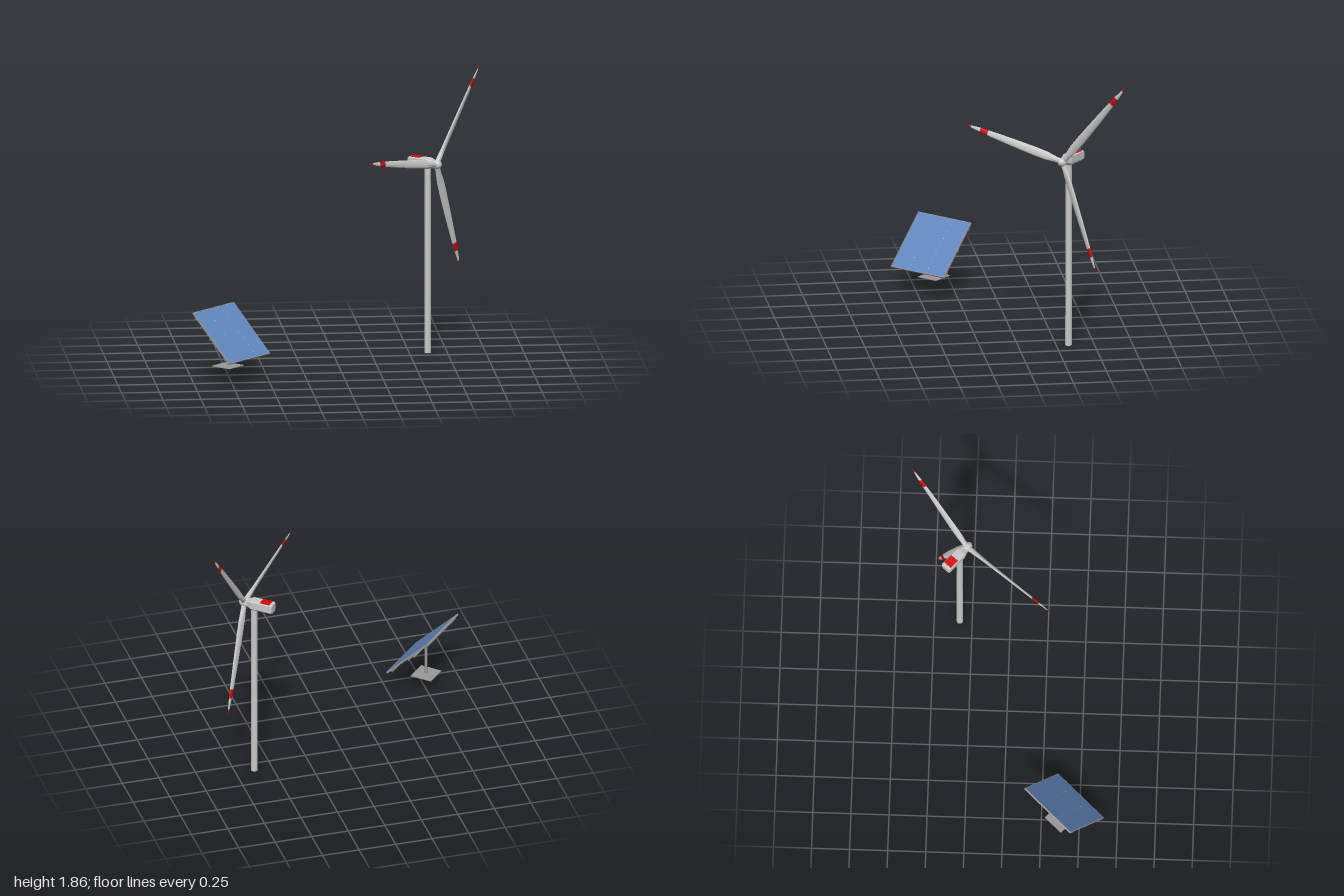
import * as THREE from 'three';

const mat = (name, color, opts = {}) => {
  const m = new THREE.MeshStandardMaterial({ color, ...opts });
  m.name = name;
  return m;
};

// Skin a stack of equal-length rings of [x, y, z], wound from +x to +z, rising in y; ends are capped.
function loft(rings) {
  const pos = [], idx = [], n = rings[0].length, last = (rings.length - 1) * n;
  rings.forEach(r => r.forEach(p => pos.push(...p)));
  for (let k = 0; k < rings.length - 1; k++) {
    for (let i = 0; i < n; i++) {
      const a = k * n + i, b = k * n + (i + 1) % n;
      idx.push(a, a + n, b, b, a + n, b + n);
    }
  }
  for (let i = 1; i < n - 1; i++) {
    idx.push(0, i, i + 1, last, last + i + 1, last + i);
  }
  const g = new THREE.BufferGeometry();
  g.setAttribute('position', new THREE.Float32BufferAttribute(pos, 3));
  g.setIndex(idx);
  const flat = g.toNonIndexed();
  flat.computeVertexNormals();
  return flat;
}

export function createModel() {
  const flat = { flatShading: true };
  const white = mat('turbineGrey', 0xcacaca, flat);
  const red = mat('warningRed', 0xd60a08, flat);
  const blue = mat('panelBlue', 0x6288c0, flat);
  const back = mat('panelBackGrey', 0x747474, flat);
  const metal = mat('frameGrey', 0x989898, flat);
  const dotMat = mat('cellGapWhite', 0xe4e4e4, flat);

  const add = (parent, name, geo, material, x = 0, y = 0, z = 0) => {
    const m = new THREE.Mesh(geo, material);
    m.name = name;
    m.position.set(x, y, z);
    parent.add(m);
    return m;
  };
  const group = (parent, name) => {
    const g = new THREE.Group();
    g.name = name;
    parent.add(g);
    return g;
  };
  const box = (w, h, d) => new THREE.BoxGeometry(w, h, d);

  const model = new THREE.Group();
  model.name = 'windAndSolarStation';

  // Turbine: origin under the hub, rotor facing local +z
  const turbine = group(model, 'windTurbine');
  turbine.position.set(0.675, 0, -0.285);
  turbine.rotation.y = 0.859;
  const hubY = 1.27;

  const tower = new THREE.CylinderGeometry(0.021, 0.022, 1.24, 12);
  add(turbine, 'tower', tower, white, 0, 0.62, -0.071);

  // Nacelle: chamfered box tapering to the rotor; stations are [along axis, half width, half height]
  const nacelleRings = [
    [-0.209, 0.033, 0.029], [-0.2, 0.035, 0.035], [-0.06, 0.035, 0.035], [-0.022, 0.024, 0.024],
  ].map(([s, w, h]) => {
    const c = 0.015, t = 0.005;
    return [[w, h - c], [w - c, h], [c - w, h], [-w, h - c], [-w, t - h], [t - w, -h], [w - t, -h], [w, t - h]]
      .map(([x, z]) => [x, s, z]);
  });
  add(turbine, 'nacelle', loft(nacelleRings).rotateX(Math.PI / 2), white, 0, hubY, 0);
  add(turbine, 'nacelleRoofMark', box(0.058, 0.004, 0.068), red, 0, hubY + 0.0355, -0.156);

  // Rotor
  const rotor = group(turbine, 'rotor');
  rotor.position.y = hubY;
  const nose = [[0, -0.026], [0.026, -0.026], [0.03, -0.012], [0.03, 0.01], [0.024, 0.024], [0.012, 0.035], [0, 0.038]]
    .map(([r, y]) => new THREE.Vector2(r, y));
  add(rotor, 'hub', new THREE.LatheGeometry(nose, 12).rotateX(Math.PI / 2), white);

  // Blade stations: radius, half chord, half thickness, pitch
  const stations = [
    [0.015, 0.018, 0.018, 0.35], [0.055, 0.019, 0.017, 0.35], [0.13, 0.028, 0.013, 0.35],
    [0.22, 0.029, 0.011, 0.33], [0.4, 0.025, 0.009, 0.31], [0.595, 0.018, 0.007, 0.3],
    [0.655, 0.0145, 0.006, 0.3], [0.73, 0.007, 0.003, 0.3], [0.763, 0.001, 0.001, 0.3],
  ];
  const rings = stations.map(([r, c, t, b]) => Array.from({ length: 10 }, (_, i) => {
    const a = i / 10 * Math.PI * 2, u = c * Math.cos(a), v = t * Math.sin(a);
    return [u * Math.cos(b) + v * Math.sin(b), r, -u * Math.sin(b) + v * Math.cos(b)];
  }));
  const bladeParts = [
    ['bladeBody', 0, 5, white], ['bladeBand', 5, 6, red], ['bladeOuter', 6, 7, white], ['bladeTip', 7, 8, red],
  ].map(([name, from, to, m]) => [name, loft(rings.slice(from, to + 1)), m]);
  for (const angle of [50, 170, 290]) {
    const blade = group(rotor, 'blade');
    blade.rotation.z = (angle - 90) * Math.PI / 180;
    bladeParts.forEach(([name, geo, m]) => add(blade, name, geo, m));
  }

  // Solar panel: origin below the panel centre, facing local +z
  const solar = group(model, 'solarPanel');
  solar.position.set(-0.742, 0, 0.4);
  solar.rotation.y = 0.805;
  add(solar, 'basePlate', box(0.15, 0.005, 0.15), metal, 0, 0.09, -0.03);
  add(solar, 'post', new THREE.CylinderGeometry(0.009, 0.009, 0.235, 12), metal, 0, 0.208, -0.03);

  const tilt = group(solar, 'tiltedPanel');
  tilt.position.y = 0.3125;
  tilt.rotation.x = Math.PI / 4;
  const size = 0.43, half = size / 2;
  add(tilt, 'panelBack', box(size - 0.006, 0.006, size - 0.006), back, 0, -0.003, 0);
  add(tilt, 'panelFace', box(size - 0.006, 0.002, size - 0.006), blue, 0, 0.001, 0);
  for (const s of [-1, 1]) {
    add(tilt, 'sideFrame', box(0.004, 0.011, size), metal, s * (half - 0.002), -0.003, 0);
    add(tilt, 'endFrame', box(size, 0.011, 0.004), metal, 0, -0.003, s * (half - 0.002));
    add(tilt, 'slopeBeam', box(0.006, 0.008, size - 0.02), back, s * size / 6, -0.009, 0);
    // Small gaps between cells along the column seams
    for (let i = -3; i <= 3; i++) {
      add(tilt, 'cellGap', box(0.004, 0.001, 0.004), dotMat, s * size / 6, 0.0022, i * 0.058);
    }
  }
  // Cross rails under the panel
  for (const z of [-0.17, 0, 0.17]) {
    add(tilt, 'crossRail', box(size - 0.004, 0.014, 0.016), back, 0, -0.014, z);
  }
  add(tilt, 'pivotTube', new THREE.CylinderGeometry(0.008, 0.008, 0.3, 10).rotateZ(Math.PI / 2), metal, 0, -0.024, 0);

  return model;
}
